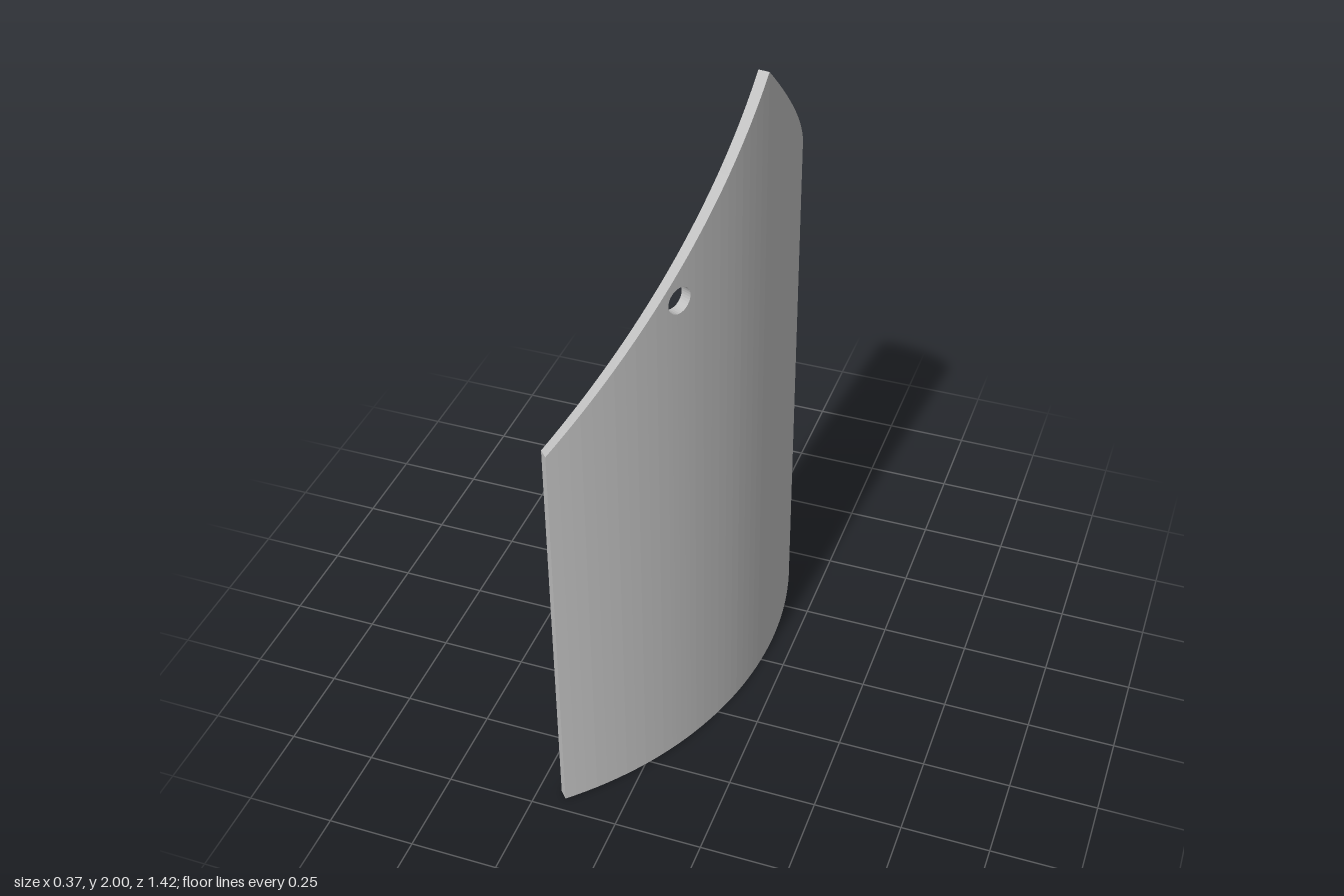
import * as THREE from 'three';

const OUTER = 1.105, INNER = 1.075;       // radii of the curved plate
const CX = -0.92, CZ = -0.098, MID = 0.116; // arc centre and angle of the apex
const HALF = 0.777, PEAK = 2;             // half width along the arc, apex height
const HOLES = [{ s: 0.377, y: 1.535, r: 0.0375 }, { s: -0.71, y: 0.99, r: 0.0375 }];

// Point on the plate from arc length, height and radius
function point(s, y, r) {
  const a = MID + s / OUTER;
  return [CX + r * Math.cos(a), y, CZ + r * Math.sin(a)];
}

const topAt = (s) => PEAK - Math.abs(s); // gabled upper edge

function plateGeometry() {
  const pos = [];
  const quad = (a, b, c, d) => pos.push(...a, ...b, ...c, ...a, ...c, ...d);

  // Columns: even steps, plus finer ones across each hole
  let columns = [];
  const steps = 48;
  for (let i = 0; i <= steps; i++) columns.push(-HALF + (2 * HALF * i) / steps);
  for (const h of HOLES) {
    columns = columns.filter((s) => Math.abs(s - h.s) > h.r + 0.004);
    for (let i = 0; i <= 16; i++) columns.push(h.s - h.r * Math.cos((Math.PI * i) / 16));
  }
  columns.sort((a, b) => a - b);

  // Outer and inner skin between two columns
  const skin = (s0, s1, lo0, lo1, hi0, hi1) => {
    quad(point(s1, lo1, OUTER), point(s0, lo0, OUTER), point(s0, hi0, OUTER), point(s1, hi1, OUTER));
    quad(point(s0, lo0, INNER), point(s1, lo1, INNER), point(s1, hi1, INNER), point(s0, hi0, INNER));
  };
  // Strip across the thickness, facing up or down
  const rim = (s0, s1, y0, y1, up) => {
    const p = [point(s1, y1, OUTER), point(s0, y0, OUTER), point(s0, y0, INNER), point(s1, y1, INNER)];
    if (!up) p.reverse();
    quad(...p);
  };

  for (let i = 0; i < columns.length - 1; i++) {
    const s0 = columns[i], s1 = columns[i + 1], m = (s0 + s1) / 2;
    const t0 = topAt(s0), t1 = topAt(s1);
    const h = HOLES.find((k) => Math.abs(m - k.s) < k.r);
    if (h) {
      const d0 = Math.sqrt(Math.max(0, h.r ** 2 - (s0 - h.s) ** 2));
      const d1 = Math.sqrt(Math.max(0, h.r ** 2 - (s1 - h.s) ** 2));
      skin(s0, s1, 0, 0, h.y - d0, h.y - d1);
      skin(s0, s1, h.y + d0, h.y + d1, t0, t1);
      rim(s0, s1, h.y - d0, h.y - d1, true);
      rim(s0, s1, h.y + d0, h.y + d1, false);
    } else {
      skin(s0, s1, 0, 0, t0, t1);
    }
    rim(s0, s1, t0, t1, true);
    rim(s0, s1, 0, 0, false);
  }

  // Upright end faces
  for (const s of [HALF, -HALF]) {
    const t = topAt(s);
    const p = [point(s, 0, INNER), point(s, 0, OUTER), point(s, t, OUTER), point(s, t, INNER)];
    if (s < 0) p.reverse();
    quad(...p);
  }

  const geometry = new THREE.BufferGeometry();
  geometry.setAttribute('position', new THREE.Float32BufferAttribute(pos, 3));
  geometry.computeVertexNormals();
  return geometry;
}

export function createModel() {
  const grey = new THREE.MeshStandardMaterial({ color: 0xc0c0c0 });
  grey.name = 'light grey';
  const plate = new THREE.Mesh(plateGeometry(), grey);
  plate.name = 'curvedPlate';
  const group = new THREE.Group();
  group.name = 'gabledCurvedPanel';
  group.add(plate);
  return group;
}
